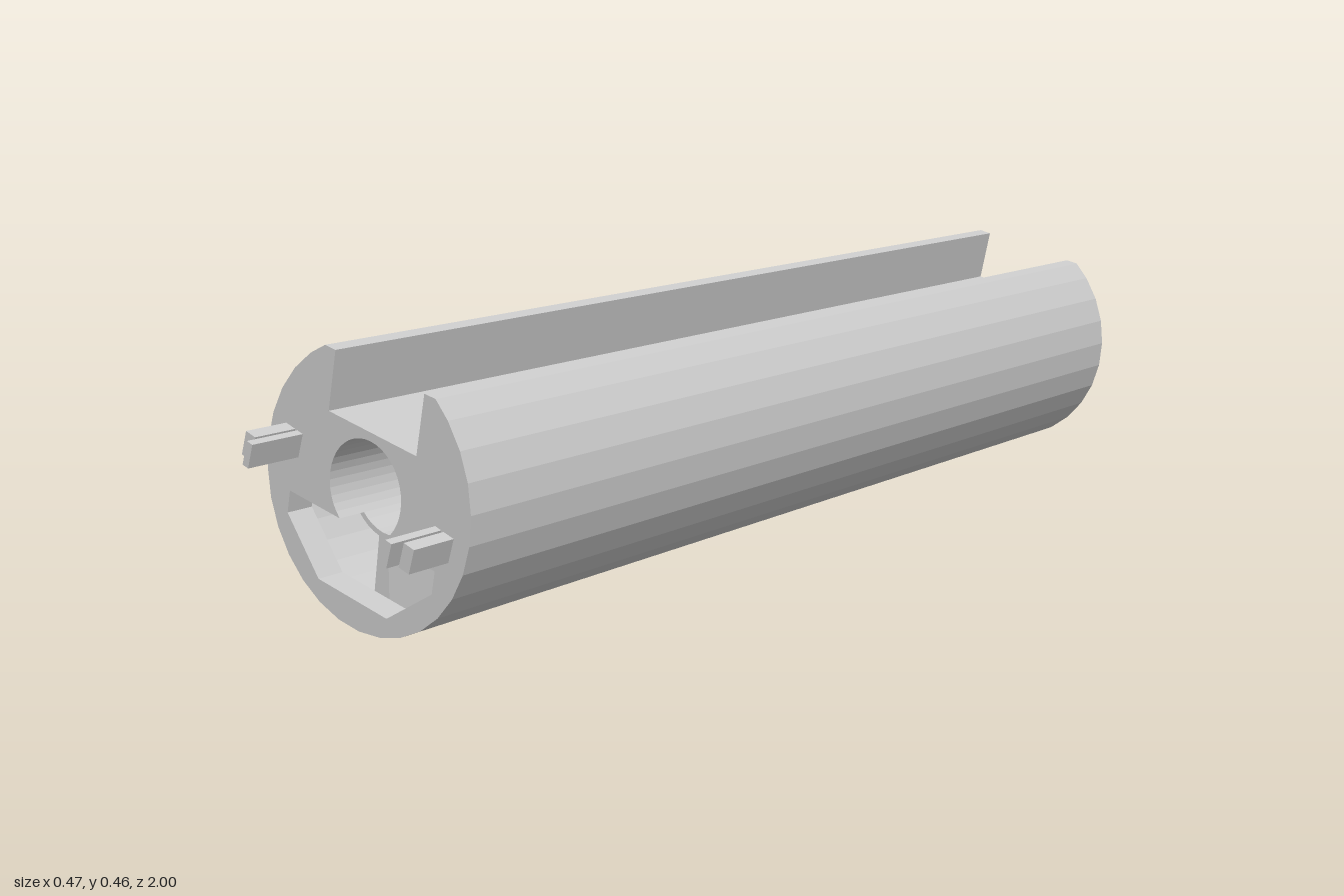
import * as THREE from 'three';

const R = 0.236, SHELL = 0.213, TUBE = 0.092, BORE = 0.083; // radii of the section
const BACK = -1, FRONT = 0.9, PLATE = 0.05;                 // positions along z
const CHANNEL = 0.102, FLOOR = 0.097, RIM = 0.199, WALL = 0.016;
const deg = Math.PI / 180;

const material = new THREE.MeshStandardMaterial({
  color: 0xcccccc, flatShading: true, side: THREE.DoubleSide,
});

// Points on an arc about the axis, angles in degrees
function arc(r, from, to, steps) {
  const pts = [];
  for (let i = 0; i <= steps; i++) {
    const a = (from + (to - from) * i / steps) * deg;
    pts.push(new THREE.Vector2(r * Math.cos(a), r * Math.sin(a)));
  }
  return pts;
}
const P = (x, y) => new THREE.Vector2(x, y);

// Outer outline: faceted circle with a square channel cut in the top
function outline() {
  const end = Math.asin(RIM / R) / deg;
  const pts = [P(CHANNEL, FLOOR), P(-CHANNEL, FLOOR), P(-CHANNEL, RIM), ...arc(R, 180 - end, 180 - end, 1).slice(0, 1)];
  for (let a = 132; a <= 408; a += 12) pts.push(P(R * Math.cos(a * deg), R * Math.sin(a * deg)));
  pts.push(P(R * Math.cos(end * deg), RIM), P(CHANNEL, RIM));
  return new THREE.Shape(pts);
}

// Hollow between shell, channel wall, tube and rib; angles give the rib faces
function pocket(side, ribTube, ribShell) {
  const x = CHANNEL + WALL, y = FLOOR - WALL;
  const top = Math.acos(x / SHELL) / deg, join = Math.asin(y / TUBE) / deg;
  const pts = [
    ...arc(SHELL, ribShell, top, 14),
    P(x, y),
    ...arc(TUBE, join, ribTube, 16),
  ];
  return new THREE.Path(pts.map(p => P(p.x * side, p.y)));
}

function extrude(name, shape, z, depth) {
  const geometry = new THREE.ExtrudeGeometry(shape, { depth, bevelEnabled: false });
  const mesh = new THREE.Mesh(geometry, material);
  mesh.name = name;
  mesh.position.z = z;
  return mesh;
}

function box(name, w, h, d, x, y, z) {
  const mesh = new THREE.Mesh(new THREE.BoxGeometry(w, h, d), material);
  mesh.name = name;
  mesh.position.set(x, y, z);
  return mesh;
}

export function createModel() {
  const model = new THREE.Group();
  model.name = 'channelledTube';

  // Everything is turned slightly about the long axis
  const body = new THREE.Group();
  body.name = 'body';
  body.position.y = R;
  body.rotation.z = -12.4 * deg;
  model.add(body);

  // Long hollow body with inner tube and lower rib
  const section = outline();
  section.holes.push(
    new THREE.Path(arc(BORE, 0, 360, 40).slice(0, -1)),
    pocket(1, -82, -80),
    pocket(-1, -85, -89.5),
  );
  body.add(extrude('hollowBody', section, BACK, FRONT - PLATE - BACK));

  // Front plate, its bore opening into a six-sided window
  const plate = outline();
  const chord = Math.asin(0.067 / BORE) / deg;
  plate.holes.push(new THREE.Path([
    ...arc(BORE, -chord, 180 + chord, 32),
    P(-0.172, -0.067), P(-0.172, -0.106), P(-0.082, -0.187),
    P(0.082, -0.187), P(0.172, -0.106), P(0.172, -0.067),
  ]));
  body.add(extrude('frontPlate', plate, FRONT - PLATE, PLATE));

  // Sloping web behind one corner of the window
  const web = new THREE.BufferGeometry();
  web.setAttribute('position', new THREE.Float32BufferAttribute([
    -0.172, -0.067, 0.85, -0.172, -0.106, 0.6, -0.047, -0.067, 0.85,
  ], 3));
  web.computeVertexNormals();
  const webMesh = new THREE.Mesh(web, material);
  webMesh.name = 'cornerWeb';
  body.add(webMesh);

  // Two split pins on the front, half a turn apart
  for (const turn of [0, Math.PI]) {
    const pin = new THREE.Group();
    pin.name = turn ? 'rightPin' : 'leftPin';
    pin.rotation.z = -6 * deg + turn;
    pin.add(
      box('outerProng', 0.023, 0.042, 0.08, 0.1895, 0, FRONT + 0.04),
      box('innerProng', 0.014, 0.042, 0.1, 0.166, 0, FRONT + 0.05),
    );
    body.add(pin);
  }
  return model;
}
